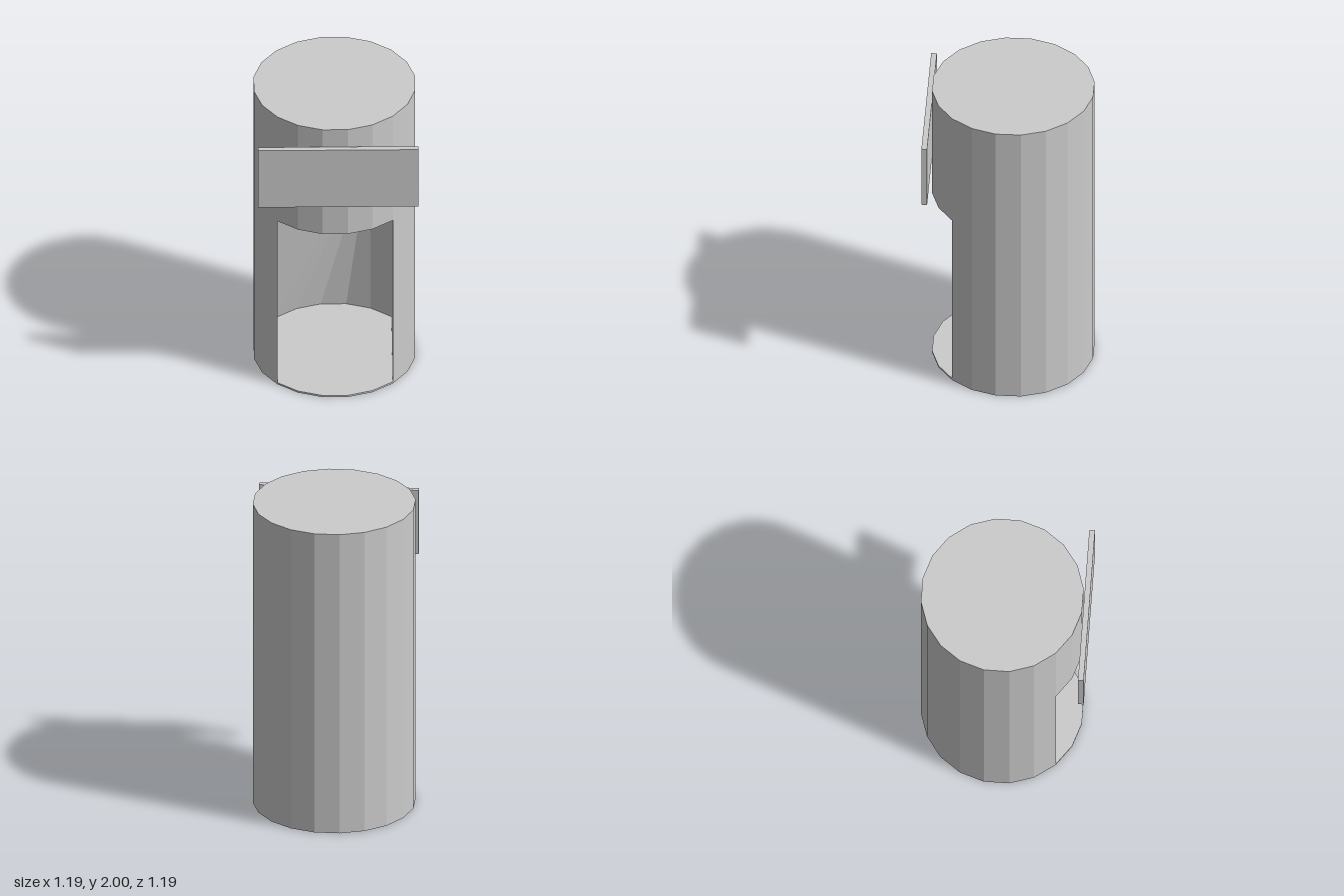
import * as THREE from 'three';

const RADIUS = 0.5, SIDES = 20, STEP = (Math.PI * 2) / SIDES;
const FLOOR = 0.012, LINTEL = 1.22, HEIGHT = 2;
const FIRST = -1, LAST = 4;               // column corners that bound the opening
const FACING = 1.5 * STEP;                // direction the opening and panel face

const material = (side = THREE.FrontSide) =>
  new THREE.MeshStandardMaterial({ color: 0xcccccc, flatShading: true, side });

function part(name, geometry) {
  const mesh = new THREE.Mesh(geometry, material());
  mesh.name = name;
  return mesh;
}

// A slice of the faceted column between two heights
function slice(name, y0, y1, open = false, start = 0, count = SIDES) {
  const g = new THREE.CylinderGeometry(RADIUS, RADIUS, y1 - y0, count, 1, open, start * STEP, count * STEP);
  g.translate(0, (y0 + y1) / 2, 0);
  return part(name, g);
}

// Corner of the column in plan, optionally pushed along the facing direction
function corner(i, push = 0) {
  return [
    RADIUS * Math.sin(i * STEP) + push * Math.sin(FACING),
    RADIUS * Math.cos(i * STEP) + push * Math.cos(FACING),
  ];
}

// Inside of the niche: two flat cheeks and a back folded into a fan
function nicheGeometry() {
  const plan = [corner(FIRST)];
  for (let i = 14; i >= 9; i--) plan.push(corner(i, 0.012));
  plan.push(corner(LAST));
  const low = (i) => [plan[i][0], FLOOR, plan[i][1]];
  const high = (i) => [plan[i][0], LINTEL, plan[i][1]];
  const points = [];
  const tri = (...corners) => corners.forEach((c) => points.push(...c));
  const wall = (i) => {
    tri(low(i), low(i + 1), high(i + 1));
    tri(low(i), high(i + 1), high(i));
  };
  wall(0);                                // left-hand cheek
  wall(5);                                // straight facet of the back
  wall(6);                                // right-hand cheek
  tri(low(1), high(5), high(1));          // upper flat of the back
  for (let i = 1; i < 5; i++) tri(low(i), low(i + 1), high(5)); // fan
  const g = new THREE.BufferGeometry();
  g.setAttribute('position', new THREE.Float32BufferAttribute(points, 3));
  g.computeVertexNormals();
  return g;
}

export function createModel() {
  const model = new THREE.Group();
  model.name = 'kiosk';

  // Column with its niche
  const column = new THREE.Group();
  column.name = 'column';
  column.add(
    slice('base', 0, FLOOR),
    slice('shell', FLOOR, LINTEL, true, LAST, SIDES - (LAST - FIRST)),
    slice('upperDrum', LINTEL, HEIGHT),
    part('niche', nicheGeometry()),
  );
  column.position.set(-0.1, 0, -0.1);
  model.add(column);

  // Blank sign panel above the opening
  const panel = part('signPanel', new THREE.BoxGeometry(0.983, 0.425, 0.035));
  panel.position.set(0.149, 1.662, 0.352);
  panel.rotation.y = FACING;
  model.add(panel);

  return model;
}
